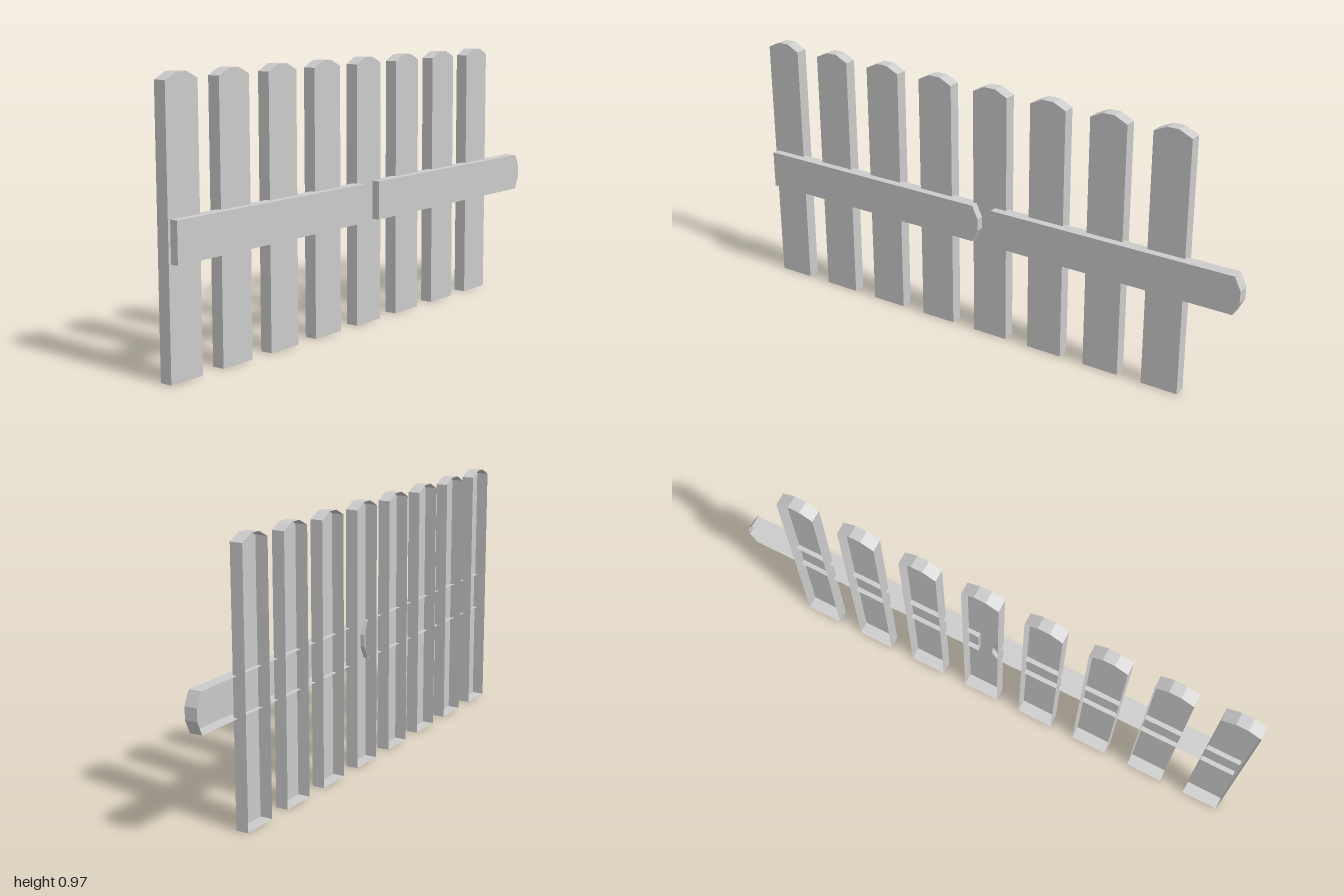
import * as THREE from 'three';

const WIDTH = 0.14, LENGTH = 0.967, SHOULDER = 0.944, DEPTH = 0.046;

// Board with a chamfered tip: front face and rim walls, open at the back
function boardGeometry() {
  const w = WIDTH / 2;
  const outline = [[-w, 0], [w, 0], [w, SHOULDER], [0.022, LENGTH], [-0.022, LENGTH], [-w, SHOULDER]];
  const pos = [];
  outline.forEach(([x0, y0], i) => {
    const [x1, y1] = outline[(i + 1) % outline.length];
    // rim wall
    pos.push(x0, y0, 0, x1, y1, 0, x1, y1, DEPTH);
    pos.push(x0, y0, 0, x1, y1, DEPTH, x0, y0, DEPTH);
    // front face, as a fan from the middle
    pos.push(0, LENGTH / 2, DEPTH, x0, y0, DEPTH, x1, y1, DEPTH);
  });
  const geometry = new THREE.BufferGeometry();
  geometry.setAttribute('position', new THREE.Float32BufferAttribute(pos, 3));
  geometry.computeVertexNormals();
  return geometry;
}

export function createModel() {
  const group = new THREE.Group();
  group.name = 'picketFence';
  const geometry = boardGeometry();
  const material = new THREE.MeshStandardMaterial({
    color: 0xcccccc, flatShading: true, side: THREE.DoubleSide,
  });

  const addBoard = (name, x, y, z, turn = 0) => {
    const board = new THREE.Mesh(geometry, material);
    board.name = name;
    board.position.set(x, y, z);
    board.rotation.z = turn;
    group.add(board);
  };

  // Upright pickets
  for (let i = 0; i < 8; i++) addBoard(`picket${i + 1}`, -0.93 + i * 0.235, 0, -0.037);

  // Two rails, the same board laid on its side with the tip towards +x
  addBoard('railRight', -0.99, 0.45, -0.008, -Math.PI / 2);
  addBoard('railLeft', 0.033, 0.45, -0.008, -Math.PI / 2);

  return group;
}
